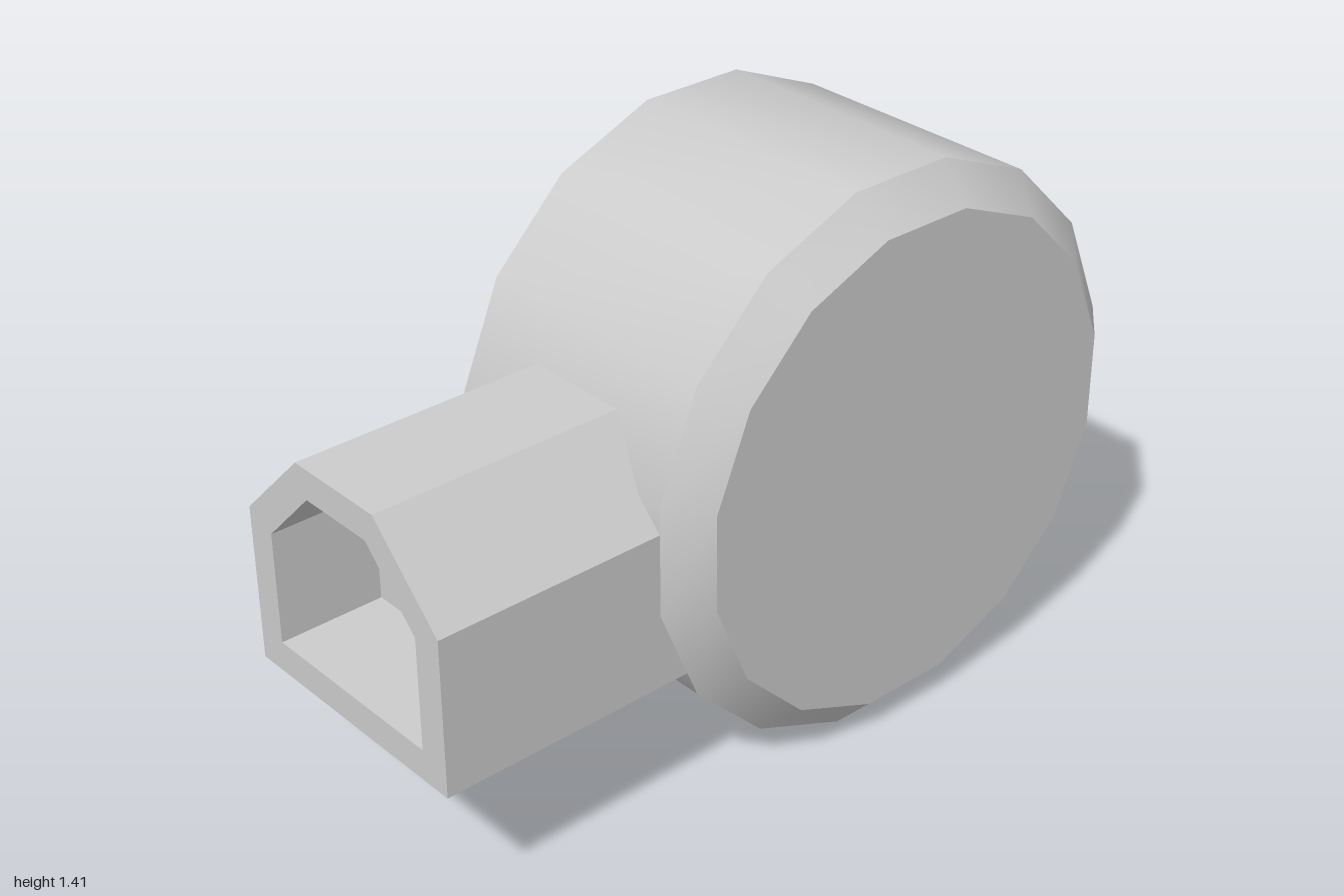
import * as THREE from 'three';
import { toCreasedNormals } from 'three/addons/utils/BufferGeometryUtils.js';

const material = new THREE.MeshStandardMaterial({ color: 0xcccccc });

// Six-sided arch outline, counter-clockwise seen from the front
function archSection(halfWidth, halfTop, bottom, shoulder, top, z) {
  return [
    [-halfWidth, bottom, z], [halfWidth, bottom, z], [halfWidth, shoulder, z],
    [halfTop, top, z], [-halfTop, top, z], [-halfWidth, shoulder, z],
  ];
}

// Skins consecutive sections and closes both ends, with flat faces
function skinSections(sections) {
  const positions = [];
  const triangle = (a, b, c) => positions.push(...a, ...b, ...c);
  const first = sections[0];
  const last = sections[sections.length - 1];
  for (let s = 0; s < sections.length - 1; s++) {
    const a = sections[s], b = sections[s + 1];
    for (let i = 0; i < a.length; i++) {
      const j = (i + 1) % a.length;
      triangle(a[i], a[j], b[j]);
      triangle(a[i], b[j], b[i]);
    }
  }
  for (let i = 1; i < first.length - 1; i++) {
    triangle(first[0], first[i + 1], first[i]);
    triangle(last[0], last[i], last[i + 1]);
  }
  const geometry = new THREE.BufferGeometry();
  geometry.setAttribute('position', new THREE.Float32BufferAttribute(positions, 3));
  geometry.computeVertexNormals();
  return geometry;
}

function createDrum() {
  // Chamfered 16-sided barrel lying along x, with flats at top and bottom
  const sides = 16;
  const profile = [
    [0, -0.427], [0.627, -0.427], [0.718, -0.343],
    [0.718, 0.343], [0.627, 0.427], [0, 0.427],
  ].map(([r, y]) => new THREE.Vector2(r, y));
  const lathe = new THREE.LatheGeometry(profile, sides, Math.PI / sides);
  lathe.rotateZ(Math.PI / 2);
  const drum = new THREE.Mesh(toCreasedNormals(lathe, 0.5), material);
  drum.name = 'drum';
  drum.position.set(0, 0.705, -0.296);
  return drum;
}

function createNozzle() {
  // Outer skin, front rim, then the blind recess
  const outer = (z) => archSection(0.343, 0.138, 0.377, 0.777, 0.98, z);
  const inner = (z) => archSection(0.263, 0.105, 0.457, 0.743, 0.903, z);
  const nozzle = new THREE.Mesh(
    skinSections([outer(0.1), outer(1), inner(1), inner(0.73)]), material);
  nozzle.name = 'nozzle';
  return nozzle;
}

export function createModel() {
  const model = new THREE.Group();
  model.name = 'drumWithNozzle';
  model.add(createDrum(), createNozzle());
  return model;
}
